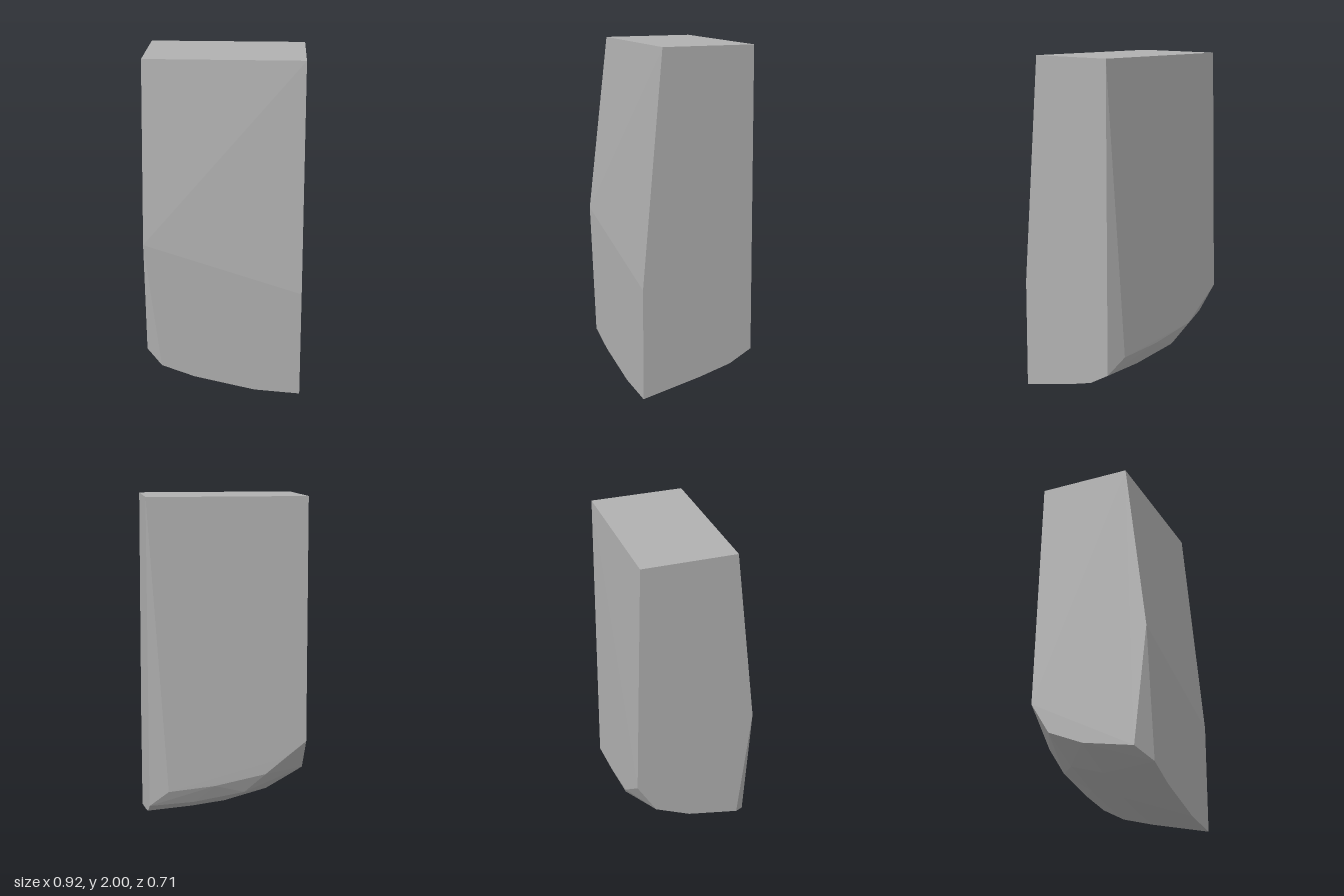
import * as THREE from 'three';
import { ConvexGeometry } from 'three/addons/geometries/ConvexGeometry.js';

export function createModel() {
  const group = new THREE.Group();
  group.name = 'taperedStone';
  const grey = new THREE.MeshStandardMaterial({ color: 0xb0b0b0, flatShading: true });
  grey.name = 'stone grey';

  // flat rectangular top
  const top = [[-0.46, 2, 0.23], [0.46, 2, 0.235], [0.46, 2, -0.317], [-0.46, 2, -0.317]];
  // slanted ridge across the front
  const ridge = [[-0.46, 0.94, 0.355], [0.46, 0.65, 0.355]];
  // curved lower front edge, ending in the chamfered corner
  const frontEdge = [[0.46, 0, 0.355], [0.19, 0.02, 0.355], [-0.17, 0.1, 0.355],
    [-0.365, 0.17, 0.355], [-0.46, 0.24, 0.277]];
  // lower edges of the two sides
  const sideEdges = [[0.46, 0.085, 0], [0.46, 0.14, -0.19], [0.46, 0.215, -0.325],
    [-0.46, 0.3, -0.03], [-0.46, 0.392, -0.24], [-0.46, 0.58, -0.353]];
  // lower edge of the back
  const backEdge = [[0.35, 0.305, -0.356], [0.08, 0.33, -0.356], [-0.22, 0.39, -0.356],
    [-0.335, 0.485, -0.355]];
  // rounded underside
  const underside = [[0.2, 0.1, 0], [0, 0.125, 0], [-0.25, 0.19, 0], [0.2, 0.16, -0.19],
    [0, 0.185, -0.19], [-0.25, 0.255, -0.2], [0.2, 0.225, -0.315], [-0.1, 0.275, -0.32]];

  const points = [top, ridge, frontEdge, sideEdges, backEdge, underside]
    .flat().map((p) => new THREE.Vector3(...p));
  const body = new THREE.Mesh(new ConvexGeometry(points), grey);
  body.name = 'stoneBody';
  group.add(body);
  return group;
}
